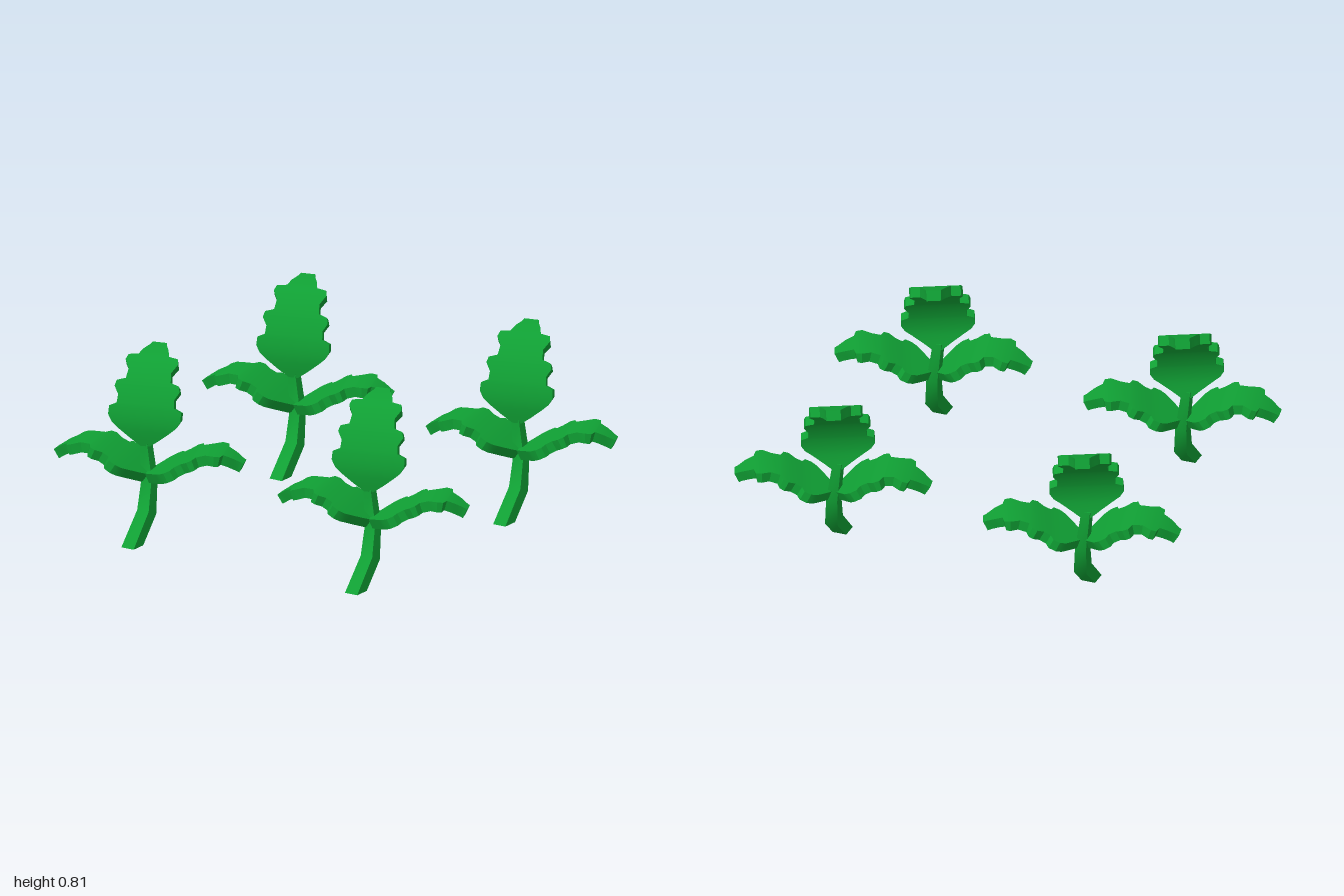
import * as THREE from 'three';
import { toCreasedNormals } from 'three/addons/utils/BufferGeometryUtils.js';

const V = (p) => new THREE.Vector3(...p);

// Four-cornered sections joined in a closed strip; section = {c, l, n}: centre and half-extent vectors
function loft(sections) {
  const pos = [], index = [];
  const corners = [[1, 1], [-1, 1], [-1, -1], [1, -1]];
  sections.forEach(({ c, l, n }) => {
    for (const [a, b] of corners) {
      const p = c.clone().addScaledVector(n, a).addScaledVector(l, b);
      pos.push(p.x, p.y, p.z);
    }
  });
  for (let i = 0; i < sections.length - 1; i++) {
    for (let j = 0; j < 4; j++) {
      const a = i * 4 + j, b = i * 4 + (j + 1) % 4;
      index.push(a, b, b + 4, a, b + 4, a + 4);
    }
  }
  const e = (sections.length - 1) * 4;
  index.push(0, 2, 1, 0, 3, 2, e, e + 1, e + 2, e, e + 2, e + 3);
  const g = new THREE.BufferGeometry();
  g.setAttribute('position', new THREE.Float32BufferAttribute(pos, 3));
  g.setIndex(index);
  return toCreasedNormals(g, 0.55);
}

// Toothed leaf outline: [distance along the leaf, half width]
const OUTLINE = [
  [0, 0.02], [0.07, 0.065], [0.15, 0.115], [0.2, 0.145], [0.26, 0.162], [0.33, 0.16], [0.36, 0.128],
  [0.43, 0.125], [0.5, 0.145], [0.55, 0.138], [0.575, 0.1], [0.66, 0.095], [0.74, 0.117], [0.79, 0.11],
  [0.805, 0.068], [0.88, 0.055], [0.96, 0.036], [1, 0.032],
];

function leafGeometry(path, lateral, scale) {
  const curve = new THREE.CatmullRomCurve3(path.map(V));
  const side = V(lateral).normalize();
  return loft(OUTLINE.map(([t, w]) => ({
    c: curve.getPointAt(t),
    l: side.clone().multiplyScalar(w * scale),
    n: side.clone().cross(curve.getTangentAt(t)).setLength(0.023),
  })));
}

// Bent stem: [centre, half width, half depth vector]
function stemGeometry() {
  return loft([
    [[0.03, 0, 0.185], 0.032, [0, 0, 0.038]],
    [[0.018, 0.12, 0.053], 0.03, [0, 0.012, 0.03]],
    [[-0.003, 0.26, -0.002], 0.026, [0, 0.003, 0.024]],
    [[-0.025, 0.44, 0], 0.02, [0, 0, 0.02]],
  ].map(([c, w, n]) => ({ c: V(c), l: new THREE.Vector3(w, 0, 0), n: V(n) })));
}

export function createModel() {
  const green = new THREE.MeshStandardMaterial({ color: 0x10a034 });
  green.name = 'leafGreen';

  const parts = {
    stem: stemGeometry(),
    topLeaf: leafGeometry([
      [-0.02, 0.41, 0], [-0.018, 0.5, 0.012], [-0.02, 0.58, 0],
      [-0.035, 0.68, -0.045], [-0.055, 0.755, -0.11], [-0.085, 0.79, -0.208],
    ], [0.93, -0.05, -0.37], 1),
    rightLeaf: leafGeometry([
      [-0.005, 0.27, 0.025], [-0.13, 0.355, 0.05], [-0.24, 0.4, 0.075],
      [-0.34, 0.377, 0.095], [-0.405, 0.335, 0.108],
    ], [0.2, 0, 0.98], 0.92),
    leftLeaf: leafGeometry([
      [0.005, 0.27, 0.025], [0.12, 0.325, -0.018], [0.23, 0.383, -0.06],
      [0.32, 0.395, -0.093], [0.405, 0.352, -0.122],
    ], [0.37, 0, 0.93], 0.92),
  };

  // Four identical sprigs on a square
  const model = new THREE.Group();
  model.name = 'sprigs';
  for (const x of [-0.585, 0.585]) {
    for (const z of [-0.585, 0.585]) {
      const sprig = new THREE.Group();
      sprig.name = 'sprig';
      for (const [name, geometry] of Object.entries(parts)) {
        const mesh = new THREE.Mesh(geometry, green);
        mesh.name = name;
        sprig.add(mesh);
      }
      sprig.position.set(x, 0, z);
      model.add(sprig);
    }
  }
  return model;
}
